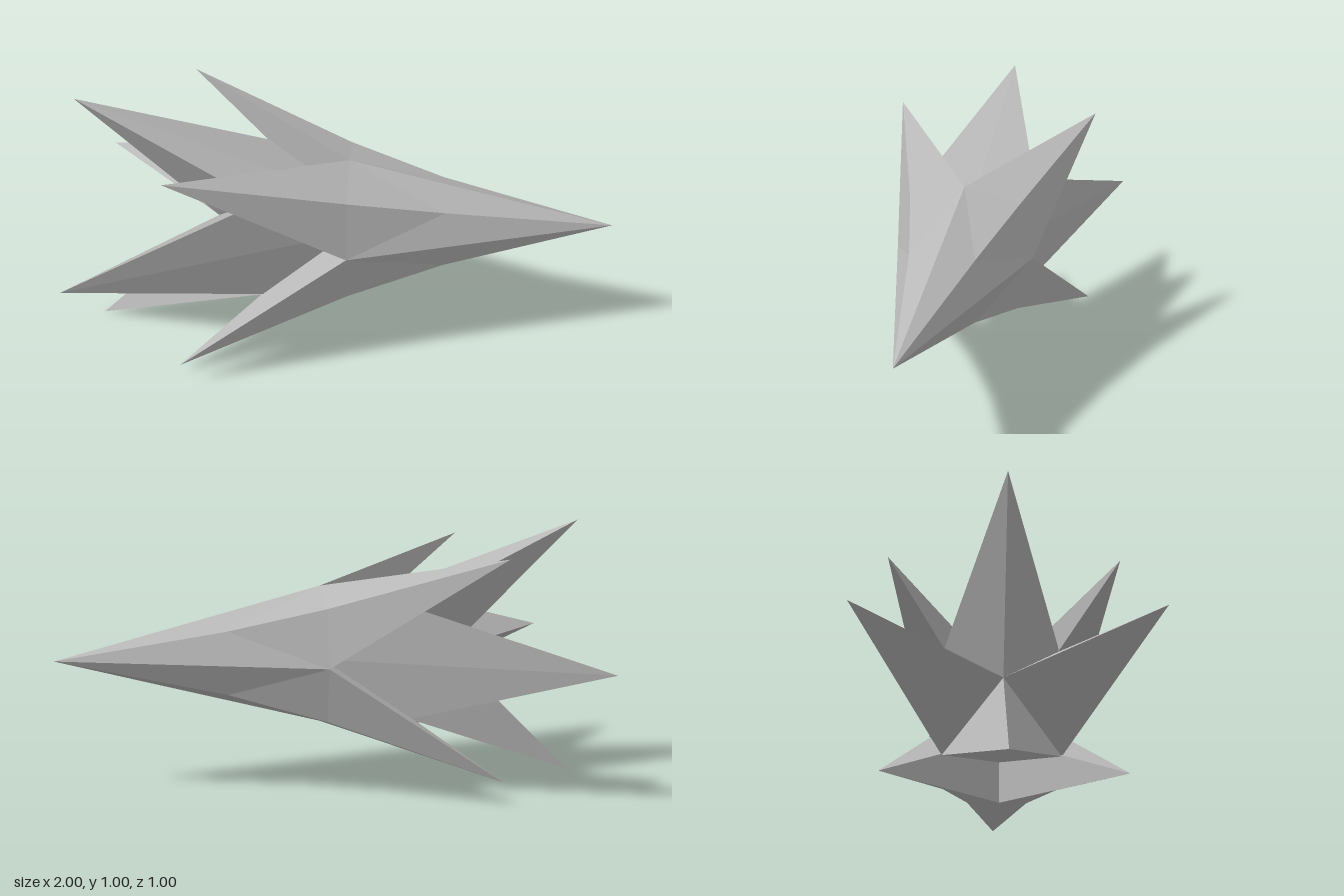
import * as THREE from 'three';

// A four-pointed swept star around the x axis.
// ridge: [x, radius] points from the nose to the swept-back spike tip;
// valley: the low point between two spikes; rear: x of the hollow back centre.
function sweptStar(ridge, valley, rear, turn, insideX) {
  const at = ([x, r], a) => new THREE.Vector3(x, r * Math.cos(a), r * Math.sin(a));
  const inside = new THREE.Vector3(insideX, 0, 0);
  const line = [...ridge, [rear, 0]];
  const points = [];

  const addFace = (a, b, c) => {
    const normal = b.clone().sub(a).cross(c.clone().sub(a));
    const outward = normal.dot(a.clone().sub(inside)) > 0;
    points.push(...(outward ? [a, b, c] : [a, c, b]));
  };

  for (let i = 0; i < 4; i++) {
    const angle = turn + i * Math.PI / 2;
    for (const side of [-1, 1]) {
      // each half spike fans out from its valley point
      const v = at(valley, angle + side * Math.PI / 4);
      for (let k = 0; k < line.length - 1; k++) {
        addFace(v, at(line[k], angle), at(line[k + 1], angle));
      }
    }
  }
  const geometry = new THREE.BufferGeometry().setFromPoints(points);
  geometry.computeVertexNormals();
  return geometry;
}

export function createModel() {
  const group = new THREE.Group();
  group.name = 'spikedDart';

  const grey = new THREE.MeshStandardMaterial({ color: 0xb8b8b8, flatShading: true });
  grey.name = 'grey';

  const add = (name, geometry) => {
    const mesh = new THREE.Mesh(geometry, grey);
    mesh.name = name;
    mesh.position.y = 0.5;
    group.add(mesh);
  };

  // long front head with four diagonal spikes
  add('frontHead', sweptStar(
    [[1, 0], [0.36, 0.17], [0, 0.3], [-0.62, 0.578]],
    [0, 0.265], 0, Math.PI / 4, 0.3));

  // tail with four upright and sideways spikes, nested in the head
  add('tailSpikes', sweptStar(
    [[0.25, 0], [-1, 0.5]],
    [-0.31, 0.3], -0.5, 0, -0.2));

  return group;
}
